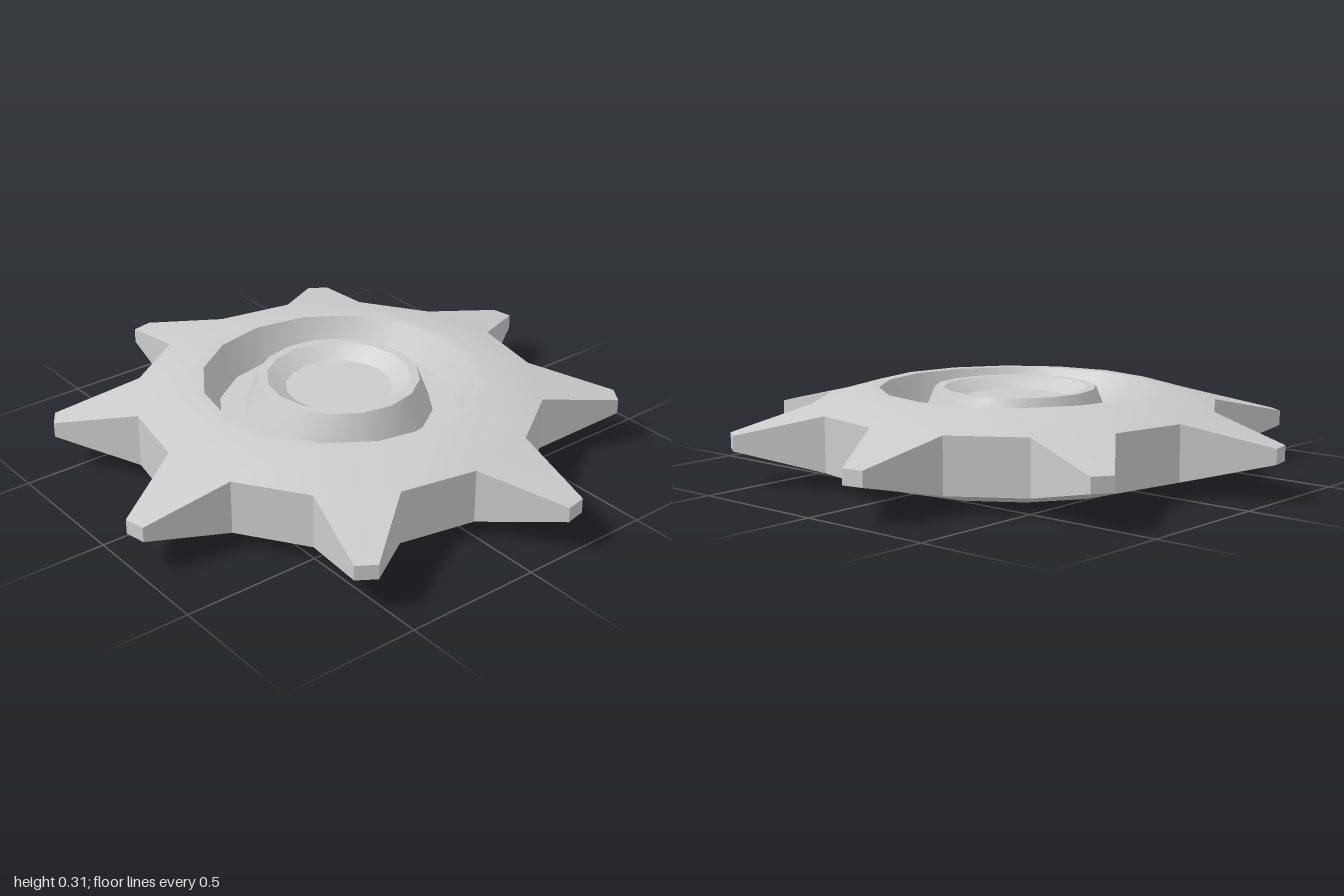
import * as THREE from 'three';
import { toCreasedNormals } from 'three/addons/utils/BufferGeometryUtils.js';

const SIDES = 16;
const MID = 0.155; // height of the mirror plane
const STEP = (2 * Math.PI) / SIDES;
const TIP = { r: 1.013, from: 0.4, to: 0.594, h: 0.027 }; // tooth tip, angles as a share of STEP

// Angle runs clockwise from the back, h is measured from the mirror plane
const point = (a, [r, h]) => new THREE.Vector3(r * Math.sin(a), MID + h, -r * Math.cos(a));

function addQuad(out, a, b, c, d) {
  for (const t of [[a, b, c], [a, c, d]]) {
    if (t[0].distanceTo(t[1]) < 1e-6 || t[1].distanceTo(t[2]) < 1e-6) continue;
    for (const p of t) out.push(p.x, p.y, p.z);
  }
}

// Tapered tooth standing on one side of the rim
function addTooth(out, a0, a1, base) {
  const low = ([r, h]) => [r, -h];
  const t0 = a0 + TIP.from * STEP, t1 = a0 + TIP.to * STEP;
  const tip = [TIP.r, TIP.h];
  const B0 = point(a0, base), B1 = point(a1, base);
  const b0 = point(a0, low(base)), b1 = point(a1, low(base));
  const T0 = point(t0, tip), T1 = point(t1, tip);
  const u0 = point(t0, low(tip)), u1 = point(t1, low(tip));
  addQuad(out, B0, B1, T1, T0); // top
  addQuad(out, T0, T1, u1, u0); // tip
  addQuad(out, u0, u1, b1, b0); // underside
  addQuad(out, B0, T0, u0, b0); // flanks
  addQuad(out, b1, u1, T1, B1);
}

// Sweeps the upper profile (centre outwards) and its mirror image around the axis
function createRing(name, profile, { teeth = false } = {}) {
  const out = [];
  for (let i = 0; i < SIDES; i++) {
    const a0 = i * STEP, a1 = ((i + 1) % SIDES) * STEP;
    for (let k = 0; k < profile.length - 1; k++) {
      const p = profile[k], q = profile[k + 1];
      const pl = [p[0], -p[1]], ql = [q[0], -q[1]];
      addQuad(out, point(a0, p), point(a1, p), point(a1, q), point(a0, q));
      addQuad(out, point(a0, ql), point(a1, ql), point(a1, pl), point(a0, pl));
    }
    if (!teeth) continue;
    const edge = profile[profile.length - 1];
    const low = [edge[0], -edge[1]];
    if (i % 2) addTooth(out, a0, a0 + STEP, edge);
    else addQuad(out, point(a0, edge), point(a1, edge), point(a1, low), point(a0, low));
  }
  const geometry = new THREE.BufferGeometry();
  geometry.setAttribute('position', new THREE.Float32BufferAttribute(out, 3));
  const mesh = new THREE.Mesh(
    toCreasedNormals(geometry, 0.5),
    new THREE.MeshStandardMaterial({ color: 0xcccccc })
  );
  mesh.name = name;
  return mesh;
}

export function createModel() {
  const group = new THREE.Group();
  group.name = 'toothedWheel';

  // Hub with a shallow dished centre
  group.add(createRing('hub', [[0, 0.115], [0.19, 0.115], [0.257, 0.155], [0.29, 0.155], [0.338, 0.035]]));

  // Thin web at the bottom of the groove
  group.add(createRing('web', [[0.338, 0.035], [0.43, 0.035]]));

  // Outer body thinning towards its eight slanted teeth
  group.add(createRing('toothedRim', [[0.43, 0.035], [0.487, 0.155], [0.53, 0.155], [0.725, 0.099]], { teeth: true }));

  return group;
}
